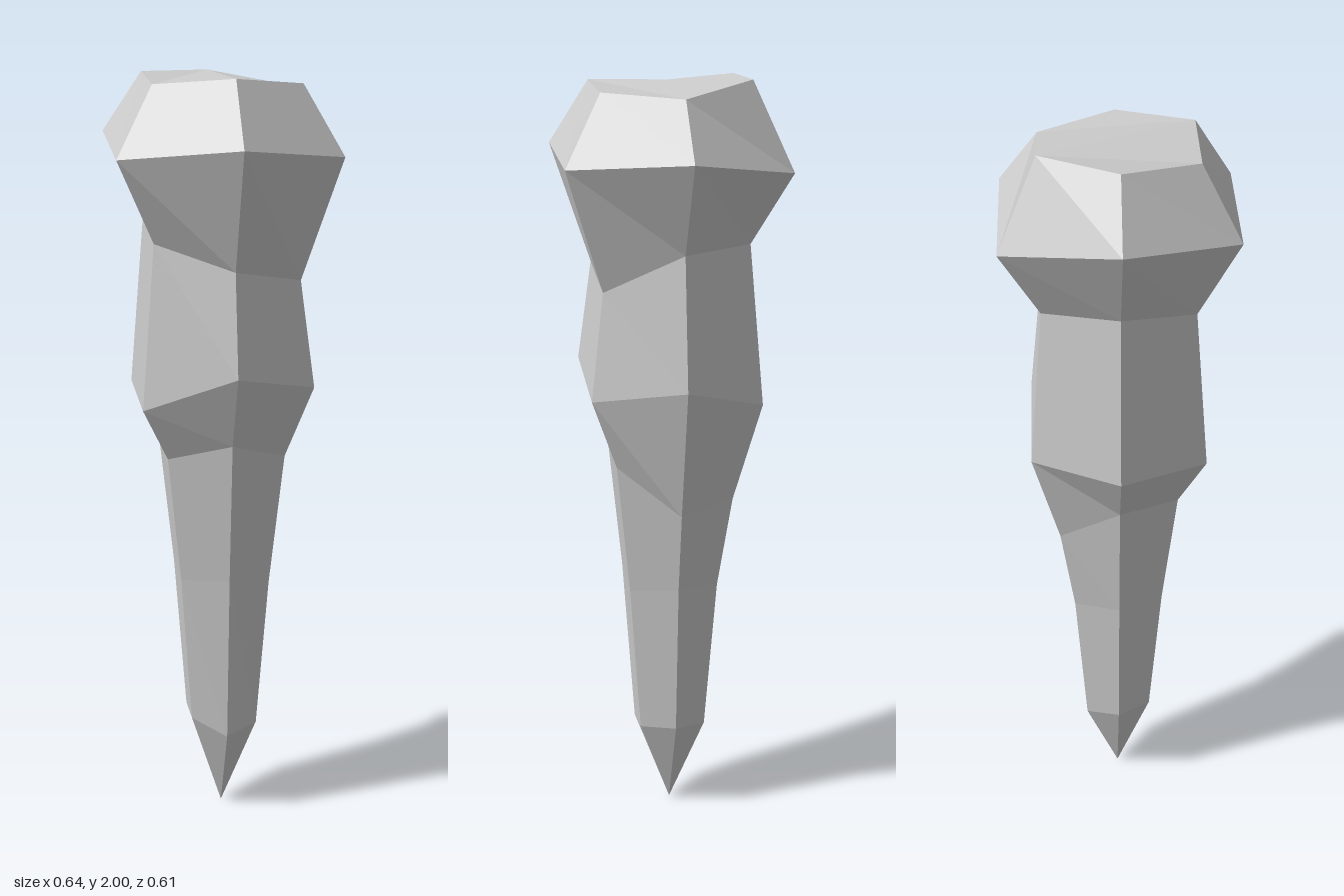
import * as THREE from 'three';

const SIDES = 6;
const TWIST = -0.185; // angle of the first corner, radians

// Rings from the crown down: radius, then the uneven height of each corner
const RINGS = [
  [0.216, [1.965, 1.975, 1.99, 1.975, 2.0, 2.0]],    // crown
  [0.326, [1.825, 1.8, 1.83, 1.8, 1.85, 1.78]],      // widest part of the head
  [0.216, [1.595, 1.49, 1.53, 1.59, 1.635, 1.6]],    // neck
  [0.256, [1.26, 1.215, 1.27, 1.17, 1.195, 1.185]],  // collar
  [0.178, [0.91, 1.025, 1.08, 1.03, 1.05, 0.92]],    // shoulder of the shaft
  [0.137, [0.69, 0.67, 0.7, 0.69, 0.7, 0.67]],       // mid shaft
  [0.103, [0.265, 0.255, 0.24, 0.28, 0.28, 0.25]],   // start of the point
];

function buildSpike() {
  const positions = [];
  const index = [];

  for (const [radius, heights] of RINGS) {
    heights.forEach((y, i) => {
      const a = TWIST + (i / SIDES) * Math.PI * 2;
      positions.push(radius * Math.cos(a), y, radius * Math.sin(a));
    });
  }
  const tip = positions.length / 3;
  positions.push(0, 0, 0);

  // Faceted cap on the crown
  index.push(5, 4, 3, 5, 3, 2, 5, 2, 0, 0, 2, 1);

  // Side walls, closing to the tip below the last ring
  for (let k = 0; k < RINGS.length; k++) {
    for (let i = 0; i < SIDES; i++) {
      const a = k * SIDES + i;
      const b = k * SIDES + ((i + 1) % SIDES);
      if (k === RINGS.length - 1) index.push(a, b, tip);
      else index.push(a, b, a + SIDES, b, b + SIDES, a + SIDES);
    }
  }

  const geometry = new THREE.BufferGeometry();
  geometry.setAttribute('position', new THREE.Float32BufferAttribute(positions, 3));
  geometry.setIndex(index);
  const faceted = geometry.toNonIndexed();
  faceted.computeVertexNormals();
  return faceted;
}

export function createModel() {
  const group = new THREE.Group();
  group.name = 'stoneSpike';
  const material = new THREE.MeshStandardMaterial({ color: 0xcccccc, flatShading: true });
  const spike = new THREE.Mesh(buildSpike(), material);
  spike.name = 'spike';
  group.add(spike);
  return group;
}
